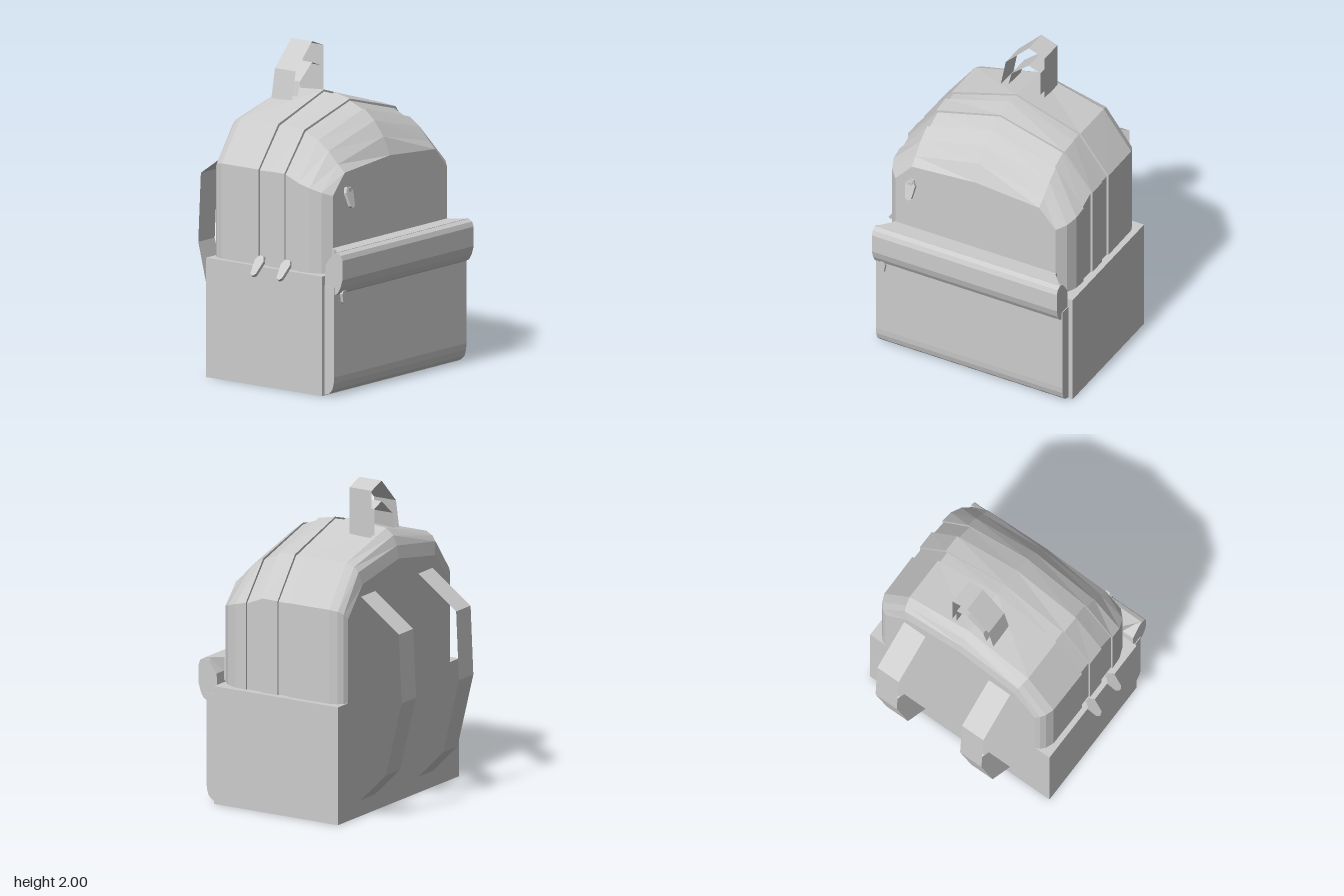
import * as THREE from 'three';

const fabric = new THREE.MeshStandardMaterial({ color: 0xcccccc, flatShading: true, side: THREE.DoubleSide });
fabric.name = 'grey fabric';
const ZC = -0.035; // middle of the main bag along z

// Skin between matching [z, y] loops placed along x, closed at both ends
function loft(sections) {
  const pos = [], idx = [], n = sections[0].loop.length;
  for (const s of sections) for (const [z, y] of s.loop) pos.push(s.x, y, z);
  for (let i = 0; i < sections.length - 1; i++) {
    for (let j = 0; j < n; j++) {
      const k = (j + 1) % n;
      const a = i * n + j, b = i * n + k, c = a + n - j + k, d = a + n;
      idx.push(a, d, c, a, c, b);
    }
  }
  const e = (sections.length - 1) * n;
  for (let j = 1; j < n - 1; j++) idx.push(0, j, j + 1, e, e + j + 1, e + j);
  const g = new THREE.BufferGeometry();
  g.setAttribute('position', new THREE.Float32BufferAttribute(pos, 3));
  g.setIndex(idx);
  const flat = g.toNonIndexed();
  flat.computeVertexNormals();
  return flat;
}

// Thin open strap: path points joined to copies shifted by the given offset
function ribbon(path, shift) {
  const pos = [], idx = [];
  path.forEach((p, i) => {
    pos.push(...p, p[0] + shift[0], p[1] + shift[1], p[2] + shift[2]);
    if (i) { const a = 2 * i - 2; idx.push(a, a + 2, a + 1, a + 1, a + 2, a + 3); }
  });
  const g = new THREE.BufferGeometry();
  g.setAttribute('position', new THREE.Float32BufferAttribute(pos, 3));
  g.setIndex(idx);
  const flat = g.toNonIndexed();
  flat.computeVertexNormals();
  return flat;
}

// Outline in x, y pulled along z
function prism(points, z0, z1) {
  const shape = new THREE.Shape(points.map(p => new THREE.Vector2(...p)));
  return new THREE.ExtrudeGeometry(shape, { depth: z1 - z0, bevelEnabled: false }).translate(0, 0, z0);
}

export function createModel() {
  const model = new THREE.Group();
  const add = (name, geo, parent = model) => {
    const m = new THREE.Mesh(geo, fabric);
    m.name = name;
    parent.add(m);
    return m;
  };

  // Main bag: x, shoulder half width, shoulder y, ridge half width, ridge y, peak y, groove depth
  const rows = [
    [-0.37, 0.56, 1.27, 0.40, 1.45, 1.52, 0],
    [-0.357, 0.59, 1.30, 0.425, 1.53, 1.60, 0],
    [-0.33, 0.615, 1.32, 0.435, 1.56, 1.66, 0],
    [-0.28, 0.635, 1.33, 0.445, 1.58, 1.70, 0],
    [0.01, 0.638, 1.33, 0.445, 1.58, 1.72, 0],
    [0.01, 0.638, 1.33, 0.445, 1.58, 1.72, 0.012],
    [0.09, 0.638, 1.33, 0.445, 1.58, 1.715, 0.012],
    [0.09, 0.638, 1.33, 0.445, 1.58, 1.715, 0],
    [0.21, 0.638, 1.33, 0.445, 1.57, 1.69, 0],
    [0.21, 0.638, 1.33, 0.445, 1.57, 1.69, 0.012],
    [0.32, 0.638, 1.285, 0.445, 1.52, 1.645, 0.012],
    [0.32, 0.638, 1.285, 0.445, 1.52, 1.645, 0],
    [0.40, 0.633, 1.265, 0.445, 1.465, 1.58, 0],
    [0.47, 0.605, 1.24, 0.443, 1.39, 1.49, 0],
    [0.52, 0.555, 1.22, 0.44, 1.345, 1.38, 0],
  ];
  add('mainBag', loft(rows.map(([x, w, sh, r, rd, pk, d]) => ({
    x,
    loop: [[w - d, 0.005], [w - d, sh - d / 2], [r - d, rd - d], [0, pk - d],
      [d - r, rd - d], [d - w, sh - d / 2], [d - w, 0.005]].map(([z, y]) => [z + ZC, y]),
  }))));

  // Side pockets wrap the lower half
  add('sidePockets', new THREE.BoxGeometry(0.895, 0.74, 1.345).translate(0.0775, 0.37, -0.0375));

  // Large pocket with a rounded lower edge
  add('frontPocket', prism([[0.45, 0.005], [0.53, 0.005], [0.56, 0.015], [0.585, 0.04], [0.597, 0.08],
    [0.60, 0.12], [0.60, 0.68], [0.45, 0.68]], -0.68, 0.61));

  // Padded flap over the pocket, with a tapering neck into the bag
  add('pocketFlap', prism([[0.52, 0.63], [0.60, 0.63], [0.625, 0.645], [0.645, 0.68], [0.66, 0.73], [0.66, 0.85],
    [0.648, 0.88], [0.62, 0.895], [0.59, 0.885], [0.53, 0.81]], -0.675, 0.605));
  add('flapNeck', loft([[0.48, 0.56], [0.53, 0.56], [0.62, 0.638]].map(([x, w]) => ({
    x, loop: [[w + ZC, 0.75], [w + ZC, 0.897], [ZC - w, 0.897], [ZC - w, 0.75]],
  }))));

  // Carry handle: outer and inner webbing
  const handle = new THREE.Group();
  handle.name = 'carryHandle';
  model.add(handle);
  const layers = {
    outerWebbing: [[0.135, 1.66], [0.10, 1.84], [-0.06, 2.0], [-0.17, 1.96], [-0.17, 1.66]],
    innerWebbing: [[0.085, 1.66], [0.06, 1.77], [-0.06, 1.87], [-0.14, 1.84], [-0.14, 1.66]],
  };
  for (const [name, pts] of Object.entries(layers))
    add(name, ribbon(pts.map(([z, y]) => [-0.262, y, z]), [0.16, 0, 0]), handle);

  // Shoulder straps
  const strap = [[-0.365, 1.38], [-0.645, 1.18], [-0.665, 0.75], [-0.55, 0.28], [-0.37, 0.10]];
  for (const z of [-0.455, 0.18])
    add('shoulderStrap', ribbon(strap.map(([x, y]) => [x, y, z]), [0, 0, 0.16]));

  // Zip pulls: tapered tabs, thickness along local z, hanging down
  const pull = (name, w, h, x, y, z, turn, tilt) => {
    const g = prism([[-w * 0.25, h / 2], [-w / 2, h * 0.25], [-w * 0.3, -h * 0.4], [-w * 0.1, -h / 2],
      [w * 0.1, -h / 2], [w * 0.3, -h * 0.4], [w / 2, h * 0.25], [w * 0.25, h / 2]].reverse(), -0.01, 0.01);
    g.rotateX(tilt).rotateY(turn);
    add(name, g.translate(x, y, z));
  };
  for (const x of [0.048, 0.25]) pull('mainZipPull', 0.07, 0.14, x, 0.745, 0.66, 0, -0.7);
  pull('upperZipPull', 0.07, 0.13, 0.555, 1.195, 0.40, Math.PI / 2, -0.28);
  pull('pocketZipPull', 0.045, 0.08, 0.625, 0.615, 0.55, Math.PI / 2, 0);
  add('upperZipSlider', new THREE.BoxGeometry(0.05, 0.03, 0.03).translate(0.53, 1.24, 0.40));

  return model;
}
